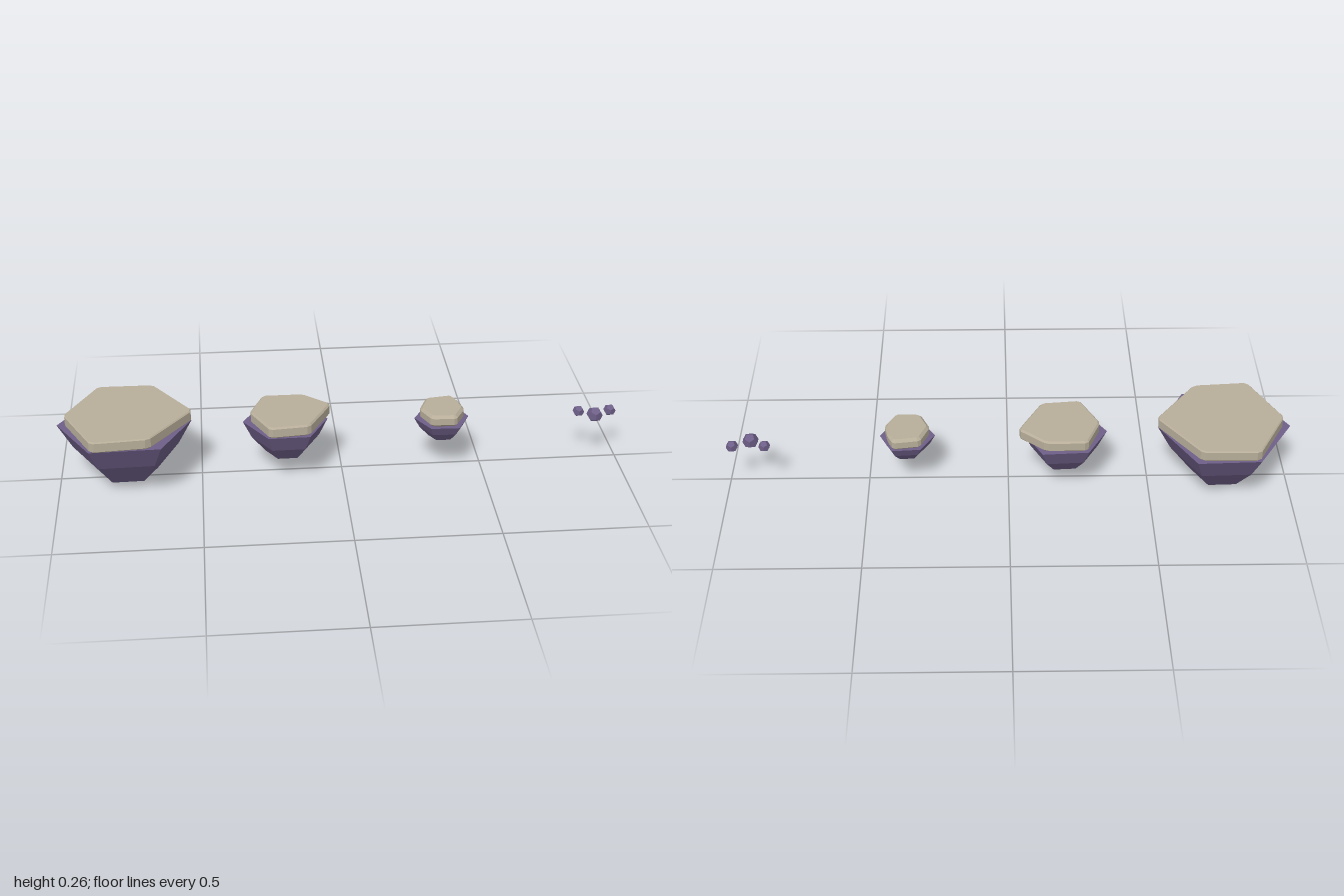
import * as THREE from 'three';

const rockMat = new THREE.MeshStandardMaterial({ color: 0x6e5f88, flatShading: true });
rockMat.name = 'purpleRock';
const capMat = new THREE.MeshStandardMaterial({ color: 0xb8ae9a, flatShading: true });
capMat.name = 'paleStone';

// Faceted rock: a rim polygon shrinking through rings to a point below
function rockGeometry(rim, cx, topY, rings, tip) {
  const levels = [[topY, 1], ...rings].map(([y, s]) =>
    rim.map(([x, z]) => [cx + (x - cx) * s, y, z * s]));
  const n = rim.length;
  const pos = [];
  const tri = (a, b, c) => pos.push(...a, ...b, ...c);
  for (let i = 0; i < n; i++) {
    const j = (i + 1) % n;
    tri([cx, topY, 0], levels[0][i], levels[0][j]);
    for (let k = 0; k < levels.length - 1; k++) {
      const a = levels[k], b = levels[k + 1];
      tri(b[i], b[j], a[j]);
      tri(b[i], a[j], a[i]);
    }
    const last = levels[levels.length - 1];
    tri(tip, last[j], last[i]);
  }
  const g = new THREE.BufferGeometry();
  g.setAttribute('position', new THREE.Float32BufferAttribute(pos, 3));
  g.computeVertexNormals();
  return g;
}

// Bevelled slab with clipped corners, lying between y0 and y1
function slabGeometry(outline, y0, y1, bevel, clip) {
  const pts = [];
  const n = outline.length;
  outline.forEach((p, i) => {
    const v = new THREE.Vector2(...p);
    for (const q of [outline[(i + n - 1) % n], outline[(i + 1) % n]]) {
      const d = new THREE.Vector2(...q).sub(v).setLength(clip);
      pts.push(v.clone().add(d));
    }
  });
  const g = new THREE.ExtrudeGeometry(new THREE.Shape(pts), {
    depth: y1 - y0 - 2 * bevel, bevelEnabled: true, bevelSegments: 1,
    bevelThickness: bevel, bevelSize: bevel, bevelOffset: -bevel,
  });
  g.rotateX(Math.PI / 2);
  g.translate(0, y1 - bevel, 0);
  return g;
}

// Outlines are [x, z], running left, front, right, back
const islands = [
  {
    name: 'largeIsland', cx: -0.76, topY: 0.218, tip: [-0.765, 0.003, 0.012],
    rings: [[0.13, 0.79], [0.033, 0.45]],
    rim: [[-1, 0], [-0.88, 0.212], [-0.635, 0.205], [-0.53, 0], [-0.65, -0.22], [-0.87, -0.212]],
    cap: [[-0.975, 0], [-0.872, 0.218], [-0.675, 0.203], [-0.525, 0], [-0.665, -0.208], [-0.865, -0.21]],
    y0: 0.219, y1: 0.259, bevel: 0.004, clip: 0.012,
  },
  {
    name: 'mediumIsland', cx: -0.2, topY: 0.202, tip: [-0.2, 0.052, 0],
    rings: [[0.14, 0.8], [0.083, 0.48]],
    rim: [[-0.35, 0], [-0.265, 0.135], [-0.12, 0.133], [-0.05, 0], [-0.118, -0.138], [-0.28, -0.128]],
    cap: [[-0.325, 0], [-0.26, 0.136], [-0.12, 0.122], [-0.06, 0.01], [-0.035, -0.04], [-0.13, -0.122], [-0.275, -0.122]],
    y0: 0.201, y1: 0.243, bevel: 0.006, clip: 0.01,
  },
  {
    name: 'smallIsland', cx: 0.36, topY: 0.189, tip: [0.36, 0.1, 0],
    rings: [[0.155, 0.81], [0.12, 0.5]],
    rim: [[0.26, 0], [0.31, 0.087], [0.41, 0.09], [0.455, 0], [0.41, -0.092], [0.31, -0.085]],
    cap: [[0.278, 0], [0.312, 0.077], [0.4, 0.082], [0.438, 0.01], [0.425, -0.05], [0.405, -0.092], [0.31, -0.078]],
    y0: 0.188, y1: 0.232, bevel: 0.01, clip: 0.008,
  },
];

export function createModel() {
  const root = new THREE.Group();
  root.name = 'floatingIslands';

  for (const d of islands) {
    const island = new THREE.Group();
    island.name = d.name;
    const rock = new THREE.Mesh(rockGeometry(d.rim, d.cx, d.topY, d.rings, d.tip), rockMat);
    rock.name = 'rockUnderside';
    const cap = new THREE.Mesh(slabGeometry(d.cap, d.y0, d.y1, d.bevel, d.clip), capMat);
    cap.name = 'stoneCap';
    island.add(rock, cap);
    root.add(island);
  }

  // Loose floating pebbles: x, y, z, radius
  const pebbles = new THREE.Group();
  pebbles.name = 'pebbles';
  for (const [x, y, z, r] of [[0.863, 0.173, -0.033, 0.021], [0.915, 0.174, 0, 0.029], [0.977, 0.173, -0.032, 0.022]]) {
    const pebble = new THREE.Mesh(new THREE.DodecahedronGeometry(r), rockMat);
    pebble.name = 'pebble';
    pebble.position.set(x, y, z);
    pebbles.add(pebble);
  }
  root.add(pebbles);
  return root;
}
